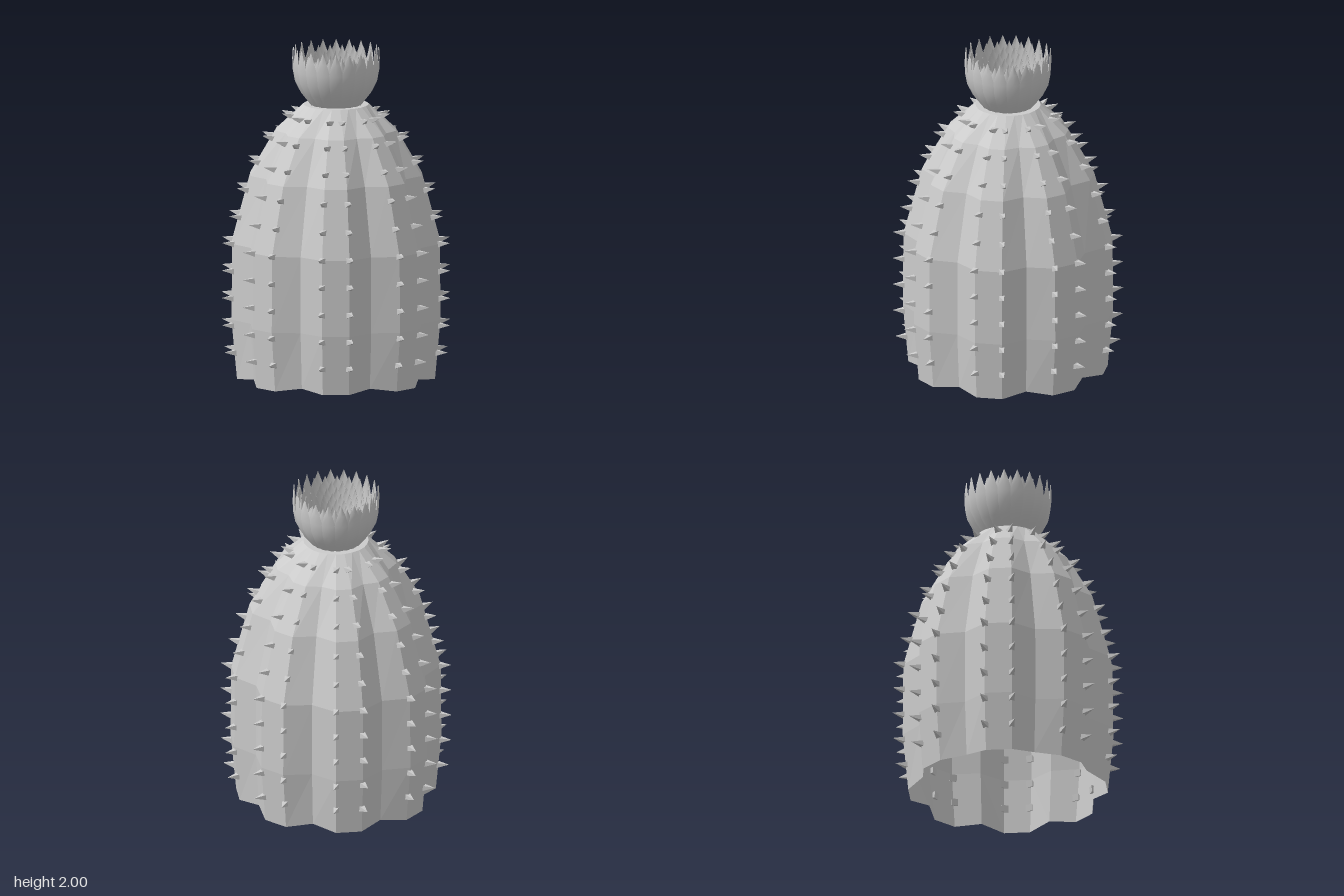
import * as THREE from 'three';

const LOBES = 8;
// body profile: [height, ridge radius, valley radius]
const PROFILE = [[0, 0.595, 0.53], [0.36, 0.628, 0.55], [0.82, 0.624, 0.548],
  [1.23, 0.515, 0.45], [1.5, 0.36, 0.325], [1.655, 0.195, 0.193]];

const material = new THREE.MeshStandardMaterial({ color: 0xcccccc, flatShading: true, side: THREE.DoubleSide });
const smooth = new THREE.MeshStandardMaterial({ color: 0xcccccc, side: THREE.DoubleSide });

function buildGeometry(positions, indices) {
  const g = new THREE.BufferGeometry();
  g.setAttribute('position', new THREE.Float32BufferAttribute(positions, 3));
  g.setIndex(indices);
  g.computeVertexNormals();
  return g;
}

// ridge radius at a height
function ridgeRadius(y) {
  for (let i = 0; i < PROFILE.length - 1; i++) {
    const [y0, r0] = PROFILE[i], [y1, r1] = PROFILE[i + 1];
    if (y <= y1) return r0 + (r1 - r0) * (y - y0) / (y1 - y0);
  }
  return PROFILE[PROFILE.length - 1][1];
}

// ribbed shell, open below: two ridge corners and one valley corner per lobe
function bodyGeometry() {
  const n = LOBES * 3, pos = [], idx = [];
  PROFILE.forEach(([y, ridge, valley], row) => {
    for (let i = 0; i < n; i++) {
      const a = THREE.MathUtils.degToRad(-7.5 + 15 * i);
      const isValley = i % 3 === 2;
      const r = isValley ? valley : ridge;
      pos.push(r * Math.sin(a), row === 0 && isValley ? 0.02 : y, r * Math.cos(a));
    }
  });
  for (let row = 0; row < PROFILE.length - 1; row++) {
    for (let i = 0; i < n; i++) {
      const a = row * n + i, b = row * n + (i + 1) % n;
      idx.push(a, b, b + n, a, b + n, a + n);
    }
  }
  // top cap
  const last = (PROFILE.length - 1) * n, centre = pos.length / 3;
  pos.push(0, PROFILE[PROFILE.length - 1][0], 0);
  for (let i = 0; i < n; i++) idx.push(last + i, last + (i + 1) % n, centre);
  return buildGeometry(pos, idx);
}

// pointed petal wrapped around the bloom axis: [height, radius, half angle]
function petalGeometry() {
  const rows = [[0, 0.155, 0.19], [0.07, 0.21, 0.215], [0.14, 0.245, 0.215],
    [0.21, 0.258, 0.175], [0.28, 0.261, 0.1], [0.345, 0.257, 0.004]];
  const pos = [], idx = [];
  for (const [y, r, half] of rows) {
    for (const s of [-1, 0, 1]) {
      const rr = s === 0 ? r : r - 0.006;
      pos.push(rr * Math.sin(s * half), y, rr * Math.cos(s * half));
    }
  }
  for (let i = 0; i < rows.length - 1; i++) {
    for (let j = 0; j < 2; j++) {
      const a = i * 3 + j;
      idx.push(a, a + 1, a + 4, a, a + 4, a + 3);
    }
  }
  return buildGeometry(pos, idx);
}

export function createModel() {
  const model = new THREE.Group();
  model.name = 'cactus';

  const body = new THREE.Mesh(bodyGeometry(), material);
  body.name = 'ribbedBody';
  model.add(body);

  // spines in a column along both ridges of every lobe
  const spines = new THREE.Group();
  spines.name = 'spines';
  const spineGeo = new THREE.ConeGeometry(0.03, 0.09, 4).rotateY(Math.PI / 4)
    .translate(0, 0.02, 0).rotateX(Math.PI / 2);
  const heights = [0.16, 0.325, 0.49, 0.655, 0.82, 0.98, 1.145, 1.31, 1.455, 1.585];
  for (let lobe = 0; lobe < LOBES; lobe++) {
    for (const side of [-1, 1]) {
      const lobeAngle = lobe * Math.PI / 4;
      const a = lobeAngle + side * THREE.MathUtils.degToRad(7.5);
      for (const y of heights) {
        const r = ridgeRadius(y);
        const spine = new THREE.Mesh(spineGeo, material);
        spine.name = 'spine';
        spine.position.set(r * Math.sin(a), y, r * Math.cos(a));
        spine.rotation.order = 'YXZ';
        spine.rotation.set(-0.07 - 0.28 * (y / 1.6) ** 2, lobeAngle + side * 0.36, 0);
        spines.add(spine);
      }
    }
  }
  model.add(spines);

  // bloom: nested rings of petals shrinking towards the centre
  const bloom = new THREE.Group();
  bloom.name = 'bloom';
  bloom.position.y = 1.655;
  const petalGeo = petalGeometry();
  const PETALS = 20, RINGS = 11;
  for (let ring = 0; ring < RINGS; ring++) {
    const scale = 1 - ring * 0.085;
    for (let i = 0; i < PETALS; i++) {
      const petal = new THREE.Mesh(petalGeo, smooth);
      petal.name = 'petal';
      petal.scale.setScalar(scale);
      petal.rotation.y = (i + ring * 0.5) * 2 * Math.PI / PETALS;
      bloom.add(petal);
    }
  }
  model.add(bloom);
  return model;
}
